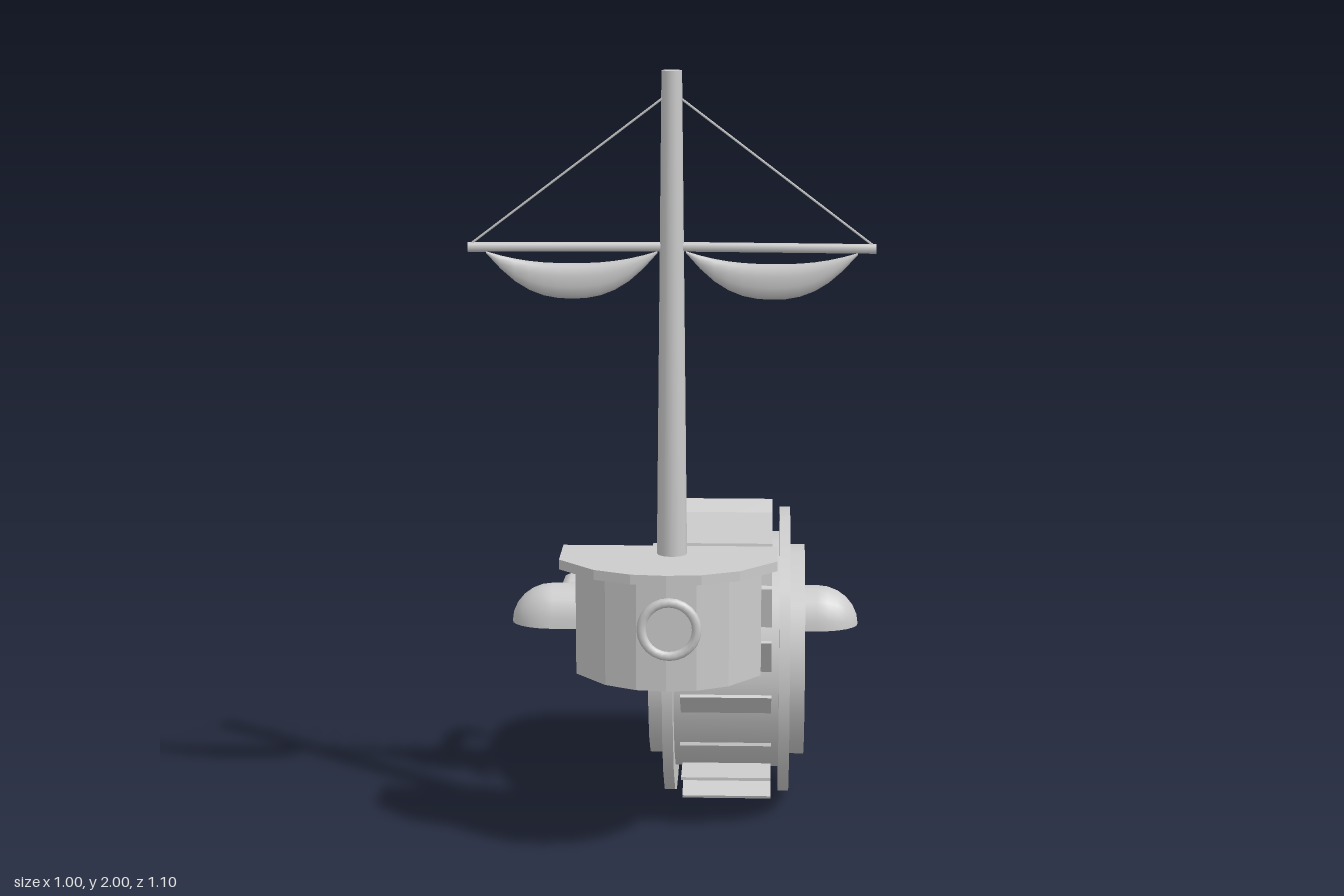
import * as THREE from 'three';

const V = (x, y, z) => new THREE.Vector3(x, y, z);

export function createModel() {
  const model = new THREE.Group();
  const mat = new THREE.MeshStandardMaterial({ color: 0xcccccc });
  const thin = new THREE.MeshStandardMaterial({ color: 0xcccccc, side: THREE.DoubleSide });

  const add = (name, geo, parent = model, material = mat) => {
    const mesh = new THREE.Mesh(geo, material);
    mesh.name = name;
    parent.add(mesh);
    return mesh;
  };

  // Round bar between two points
  const rod = (name, a, b, r, sides = 8) => {
    const m = add(name, new THREE.CylinderGeometry(r, r, a.distanceTo(b), sides));
    m.position.copy(a).lerp(b, 0.5);
    m.quaternion.setFromUnitVectors(V(0, 1, 0), b.clone().sub(a).normalize());
    return m;
  };

  // Bent pipe with closed ends
  const pipe = (name, pts, r, sides = 8) => {
    const g = new THREE.Group();
    g.name = name;
    model.add(g);
    const curve = new THREE.CatmullRomCurve3(pts, false, 'centripetal');
    add(name + 'Tube', new THREE.TubeGeometry(curve, 16, r, sides), g);
    for (const t of [0, 1]) {
      const cap = add(name + 'End', new THREE.CircleGeometry(r, sides), g, thin);
      cap.position.copy(curve.getPoint(t));
      cap.quaternion.setFromUnitVectors(V(0, 0, 1), curve.getTangent(t).multiplyScalar(t ? 1 : -1));
    }
  };

  // Skin over a row of closed cross-sections
  const loft = (sections) => {
    const n = sections[0].length, index = [];
    for (let i = 0; i < sections.length - 1; i++) {
      for (let j = 0; j < n; j++) {
        const a = i * n + j, b = i * n + (j + 1) % n;
        index.push(a, a + n, b, b, a + n, b + n);
      }
    }
    const geo = new THREE.BufferGeometry().setFromPoints(sections.flat());
    geo.setIndex(index);
    geo.computeVertexNormals();
    return geo;
  };

  // Cabin body and deck: straight back, bowed front
  const slab = (name, w, zBack, zSide, zFront, y, h) => {
    const d = zFront - zSide;
    const half = [[w, 0], [w * 0.66, d * 0.66], [w * 0.32, d * 0.94]];
    const pts = [[w, zBack], ...half.map(([x, z]) => [x, zSide + z]), [0, zFront]];
    const outline = [...pts, ...pts.slice(0, -1).reverse().map(([x, z]) => [-x, z])];
    const shape = new THREE.Shape(outline.map(([x, z]) => new THREE.Vector2(x, -z)));
    const geo = new THREE.ExtrudeGeometry(shape, { depth: h, bevelEnabled: false });
    geo.rotateX(-Math.PI / 2);
    add(name, geo).position.set(-0.007, y, 0);
  };
  slab('cabin', 0.232, 0.278, 0.385, 0.527, 0.495, 0.28);
  slab('cabinDeck', 0.272, 0.252, 0.4, 0.546, 0.77, 0.025);

  // Porthole
  add('portholeRim', new THREE.TorusGeometry(0.068, 0.012, 8, 24)).position.set(0, 0.655, 0.532);
  const glass = add('portholeGlass', new THREE.CylinderGeometry(0.066, 0.066, 0.03, 24));
  glass.rotation.x = Math.PI / 2;
  glass.position.set(0, 0.655, 0.518);

  // Mast, yards, stays and furled sails
  add('mast', new THREE.CylinderGeometry(0.025, 0.038, 1.21, 12)).position.set(0, 1.395, 0.327);
  for (const s of [1, -1]) {
    rod('yard', V(0, 1.57, 0.322), V(s * 0.5, 1.57, 0.345), 0.012);
    rod('stay', V(0, 1.95, 0.333), V(s * 0.49, 1.58, 0.344), 0.003, 5);
    const rings = [];
    for (let i = 0; i <= 12; i++) {
      const u = i / 12, c = 2 * u - 1;
      const belly = Math.max(0.02, 1 - Math.pow(Math.abs(c), 2.4));
      const top = 1.56 - 0.03 * belly, bottom = 1.557 - 0.115 * belly;
      const x = s * (0.035 + 0.42 * u), z = 0.326 + 0.04 * Math.abs(x);
      const ring = [];
      for (let j = 0; j < 10; j++) {
        const a = (j / 10) * Math.PI * 2 * s;
        ring.push(V(x, (top + bottom) / 2 + Math.cos(a) * (top - bottom) / 2,
          z + Math.sin(a) * 0.016 * Math.sqrt(belly)));
      }
      rings.push(ring);
    }
    add('furledSail', loft(rings), model, thin);
  }

  // Paddle wheel
  const wheel = new THREE.Group();
  wheel.name = 'paddleWheel';
  wheel.position.set(0.135, 0.406, -0.146);
  model.add(wheel);
  const disc = (name, r, w, x) => {
    const m = add(name, new THREE.CylinderGeometry(r, r, w, 18), wheel);
    m.rotation.z = Math.PI / 2;
    m.position.x = x;
  };
  disc('drum', 0.32, 0.28, 0);
  disc('hub', 0.285, 0.41, 0);
  for (const s of [1, -1]) disc('rimDisc', 0.387, 0.028, s * 0.151);
  for (let i = 0; i < 18; i++) {
    const arm = new THREE.Group();
    arm.name = 'paddleArm';
    arm.rotation.x = THREE.MathUtils.degToRad(-3.5 + i * 20);
    wheel.add(arm);
    const paddle = add('paddle', new THREE.BoxGeometry(0.235, 0.11, 0.008), arm);
    paddle.position.y = 0.365;
    paddle.rotation.x = -Math.PI / 4;
  }

  // Axle housing: long half-round shell with rounded ends and a flat base
  const x0 = -0.45, x1 = 0.485, tip = 0.11;
  const stations = [];
  for (let i = 0; i <= 6; i++) {
    const a = (i / 6) * Math.PI / 2;
    stations.push([x0 + tip * (1 - Math.cos(a)), Math.max(0.01, Math.sin(a))]);
  }
  for (let i = 6; i >= 0; i--) {
    const a = (i / 6) * Math.PI / 2;
    stations.push([x1 - tip * (1 - Math.cos(a)), Math.max(0.01, Math.sin(a))]);
  }
  const arches = stations.map(([x, k]) => {
    const ring = [];
    for (let j = 0; j <= 12; j++) {
      const a = (j / 12) * Math.PI;
      ring.push(V(x, 0.48 + 0.105 * k * Math.sin(a), -0.143 + 0.08 * k * Math.cos(a)));
    }
    ring.push(ring[12].clone(), ring[0].clone());
    return ring;
  });
  add('axleHousing', loft(arches), model, thin);

  // Exhaust elbow behind the housing
  pipe('exhaustPipe', [V(-0.3, 0.54, -0.18), V(-0.3, 0.545, -0.28), V(-0.3, 0.535, -0.34),
    V(-0.3, 0.5, -0.372), V(-0.3, 0.44, -0.375)], 0.026);

  // Thin pipes curling over the housing
  const thinPipe = (x, zIn, zOut) => pipe('thinPipe', [V(x, 0.545, zIn),
    V(x, 0.555, zIn + (zOut - zIn) * 0.6), V(x, 0.53, zOut), V(x, 0.475, zOut)], 0.008, 6);
  thinPipe(-0.175, -0.19, -0.27);
  thinPipe(-0.158, -0.18, -0.27);
  thinPipe(-0.223, -0.1, -0.02);
  thinPipe(-0.205, -0.11, 0.0);
  thinPipe(-0.188, -0.11, -0.01);

  // Pipes on the back of the cabin
  const backPipe = (x, top, z, bottom) => pipe('cabinPipe', [V(x, top, 0.3), V(x, top, 0.255),
    V(x, top - 0.02, z + 0.02), V(x, top - 0.07, z), V(x, bottom, z)], 0.026);
  backPipe(-0.196, 0.735, 0.2, 0.5);
  backPipe(-0.11, 0.645, 0.232, 0.435);

  return model;
}
